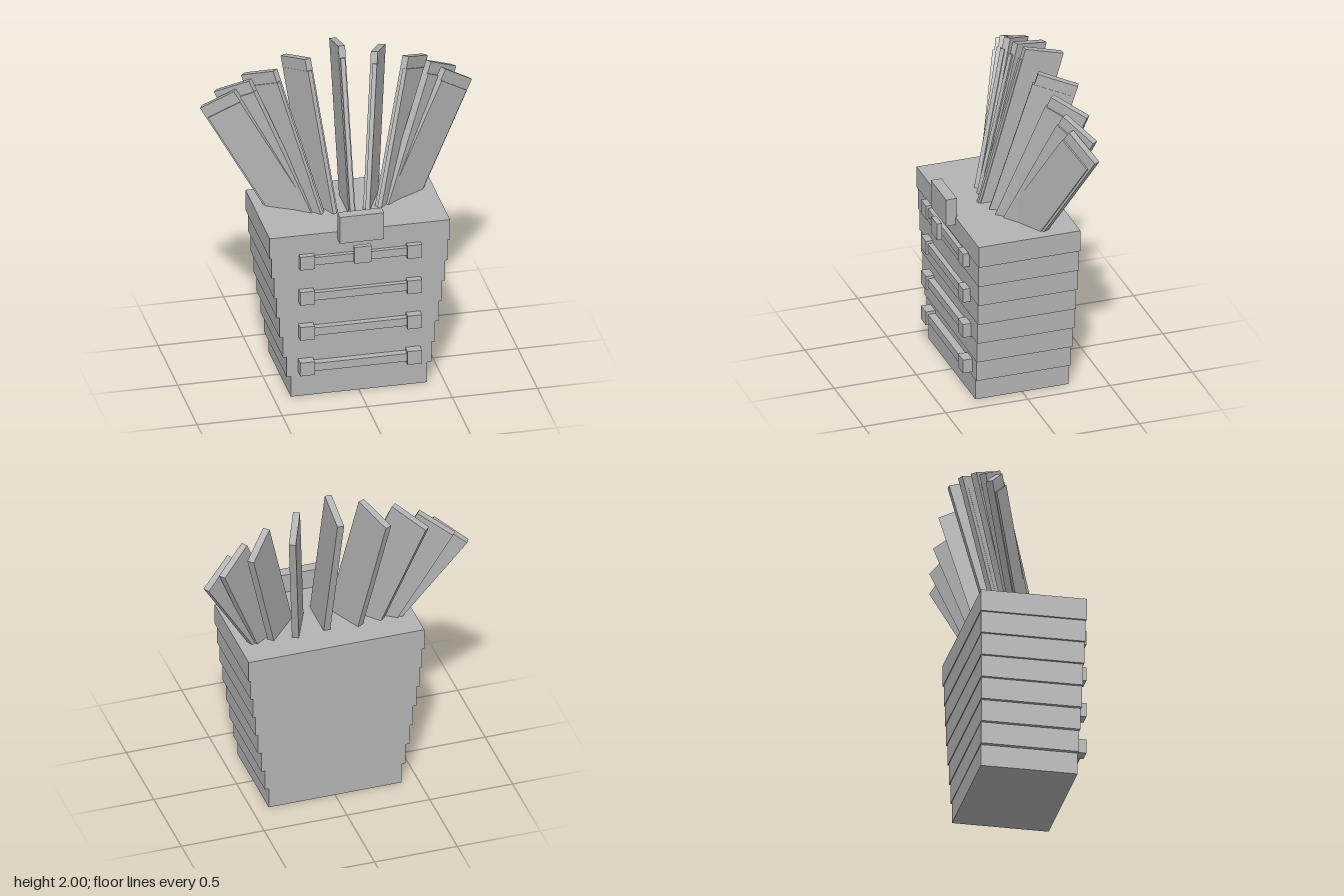
import * as THREE from 'three';

export function createModel() {
  const grey = new THREE.MeshStandardMaterial({ color: 0xb3b3b3 });
  grey.name = 'grey';
  const model = new THREE.Group();
  model.name = 'fannedCase';

  const box = (name, w, h, d, x, y, z, parent = model) => {
    const mesh = new THREE.Mesh(new THREE.BoxGeometry(w, h, d), grey);
    mesh.name = name;
    mesh.position.set(x, y, z);
    parent.add(mesh);
    return mesh;
  };

  // Stepped body, widening upward
  const halfWidths = [0.4, 0.425, 0.447, 0.468, 0.486, 0.502, 0.517, 0.53];
  const tier = 1.05 / 8;
  halfWidths.forEach((hw, i) => {
    box('bodyTier', hw * 2, tier, (0.283 + 0.0038 * i) * 2, 0, tier * (i + 0.5), 0);
  });

  // Four bars with square end blocks
  for (const y of [0.2, 0.43, 0.657, 0.885]) {
    box('handleBar', 0.56, 0.05, 0.045, 0, y, 0.31);
    for (const s of [-1, 1]) box('handleBlock', 0.085, 0.085, 0.065, s * 0.315, y, 0.312);
  }

  // Clasp
  box('claspPlate', 0.26, 0.17, 0.065, 0, 1.085, 0.333);
  box('claspKnob', 0.1, 0.105, 0.03, 0, 0.927, 0.377);

  // Fanned boards: top front corner, top back corner, front edge at the rim
  const boards = [
    [[0, 1.998, -0.157], [0, 1.932, -0.388], [0, 1.05, 0.148]],
    [[0.194, 1.932, -0.168], [0.292, 1.86, -0.384], [0.073, 1.05, 0.12]],
    [[0.384, 1.87, -0.19], [0.533, 1.78, -0.354], [0.147, 1.05, 0.08]],
    [[0.525, 1.81, -0.216], [0.7, 1.7, -0.337], [0.18, 1.05, 0.05]],
    [[0.613, 1.75, -0.222], [0.79, 1.615, -0.318], [0.2, 1.05, 0.02]],
  ];
  const width = 0.241, thick = 0.04, drop = 0.07;

  const addBoard = (corners, side) => {
    const [front, back, rim] = corners.map(([x, y, z]) => new THREE.Vector3(x * side, y, z));
    const along = back.clone().sub(front).normalize();
    const up = front.clone().sub(rim);
    const length = up.length() + 0.12;
    up.addScaledVector(along, -up.dot(along)).normalize();
    const normal = new THREE.Vector3().crossVectors(along, up);

    const group = new THREE.Group();
    group.name = 'board';
    group.quaternion.setFromRotationMatrix(new THREE.Matrix4().makeBasis(along, up, normal));
    group.position.copy(front).add(back).multiplyScalar(0.5);
    model.add(group);

    box('boardSlab', width, length, thick, 0, -length / 2, 0, group);
    // Thinner, shorter panel shifted a little towards the front
    const shift = 0.02;
    box('boardPanel', width - 0.012, length - drop, 0.026,
      along.z * shift, -(length + drop) / 2, normal.z * shift, group);
  };

  addBoard(boards[0], 1);
  for (const corners of boards.slice(1)) for (const s of [-1, 1]) addBoard(corners, s);

  return model;
}
